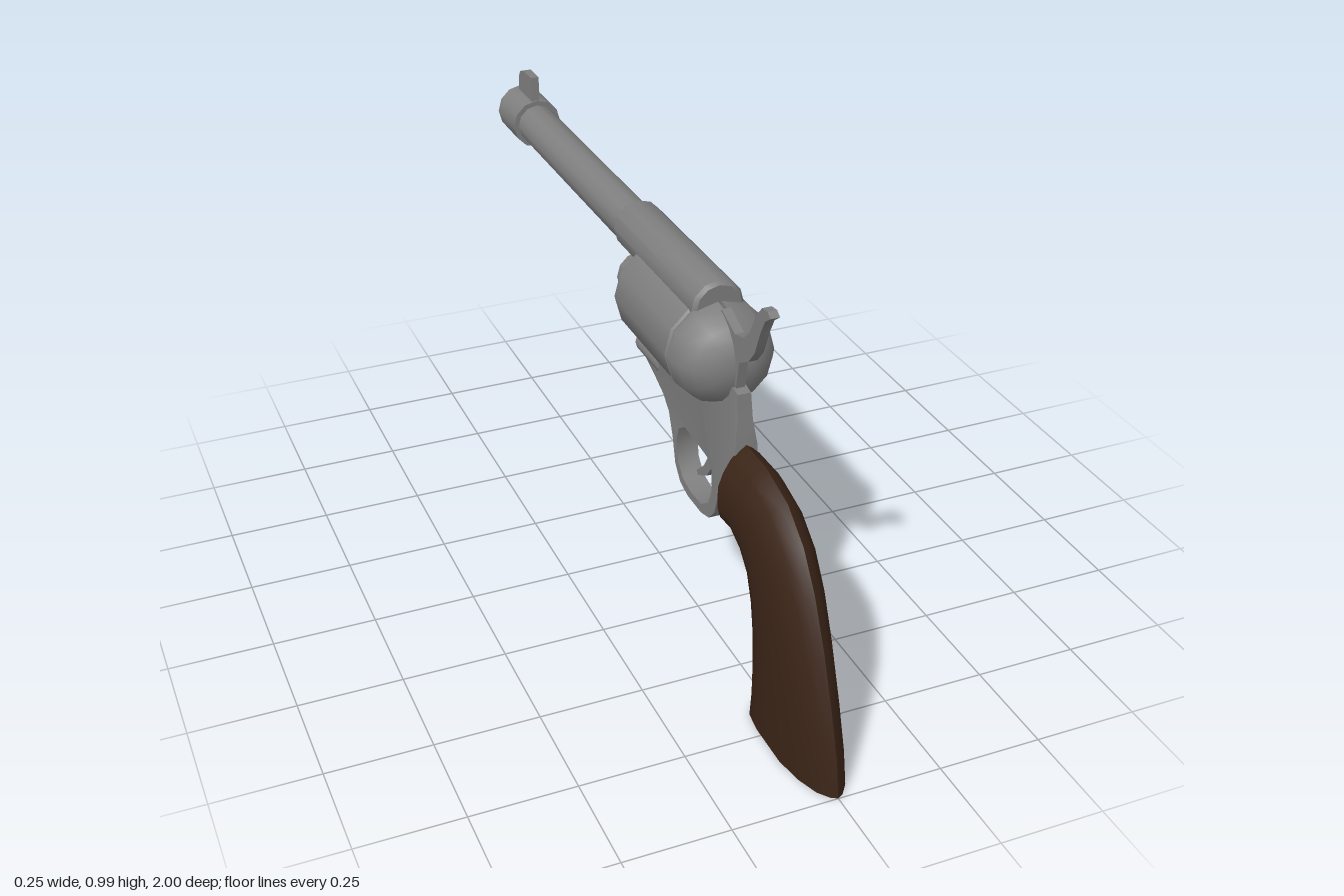
import * as THREE from 'three';
import { toCreasedNormals } from 'three/addons/utils/BufferGeometryUtils.js';

const steel = new THREE.MeshStandardMaterial({ color: 0x7f7f7f });
const steelThin = new THREE.MeshStandardMaterial({ color: 0x7f7f7f, side: THREE.DoubleSide });
const wood = new THREE.MeshStandardMaterial({ color: 0x3a2417 });

const vecs = (pts) => pts.map(([a, b]) => new THREE.Vector2(a, b));
const { smoothstep } = THREE.MathUtils;

export function createModel() {
  const model = new THREE.Group();

  function add(name, geometry, material = steel, crease = 0.62) {
    const mesh = new THREE.Mesh(toCreasedNormals(geometry, crease), material);
    mesh.name = name;
    model.add(mesh);
    return mesh;
  }

  // Turned part along z: profile is [radius, z] with z rising on the outside
  function turned(name, profile, y, start = 0, length = Math.PI * 2) {
    const sides = Math.round((12 * length) / (Math.PI * 2));
    const g = new THREE.LatheGeometry(vecs(profile), sides, start, length);
    g.rotateX(Math.PI / 2);
    return add(name, g.translate(0, y, 0));
  }

  // Plate cut from a [z, y] outline, centred on x = 0; halfWidth gives its half width at (z, y)
  function plate(name, outline, halfWidth, hole) {
    const shape = new THREE.Shape(vecs(outline));
    if (hole) shape.holes.push(new THREE.Path(vecs(hole)));
    const g = new THREE.ExtrudeGeometry(shape, { depth: 2, bevelEnabled: false });
    g.translate(0, 0, -1).rotateY(-Math.PI / 2);
    const p = g.attributes.position;
    for (let i = 0; i < p.count; i++) {
      p.setX(i, p.getX(i) * halfWidth(p.getZ(i), p.getY(i)));
    }
    return add(name, g);
  }

  // Barrel with hollow muzzle
  turned('barrel', [[0, -0.87], [0.053, -0.87], [0.053, -0.1], [0, -0.1]], 0.861);
  turned('muzzleRing', [[0, -0.87], [0.049, -0.87], [0.049, -1], [0.066, -1], [0.066, -0.866],
    [0, -0.866]], 0.861);
  plate('frontSight', [[-0.87, 0.915], [-0.98, 0.915], [-0.978, 0.96], [-0.965, 0.98],
    [-0.94, 0.99], [-0.875, 0.99]], () => 0.011);

  // Top strap around the barrel root, cylinder and ejector housing
  turned('topStrap', [[0, -0.135], [0.06, -0.135], [0.063, -0.13], [0.063, 0.335],
    [0.055, 0.345], [0, 0.345]], 0.87);
  turned('cylinder', [[0, 0], [0.106, 0], [0.116, 0.006], [0.12, 0.018], [0.12, 0.318],
    [0.112, 0.328], [0, 0.33]], 0.765);
  turned('ejectorHousing', [[0, -0.132], [0.055, -0.132], [0.058, -0.127], [0.058, 0.02], [0, 0.02]], 0.743);

  // Recoil shield: two half domes with a slot for the hammer
  const dome = [[0, 0.322], [0.11, 0.322], [0.119, 0.338], [0.119, 0.355], [0.111, 0.39],
    [0.093, 0.42], [0.067, 0.443], [0.035, 0.456], [0, 0.46]];
  const section = [...dome.map(([r, z]) => [z, r]), ...dome.slice(1, -1).reverse().map(([r, z]) => [z, -r])];
  for (const side of [1, -1]) {
    turned('recoilShield', dome, 0.767, side > 0 ? 0 : Math.PI, Math.PI).position.x = side * 0.004;
    const wall = new THREE.ShapeGeometry(new THREE.Shape(vecs(section)));
    wall.rotateY(-Math.PI / 2).translate(side * 0.005, 0.767, 0);
    add('hammerSlotWall', wall, steelThin);
  }

  // Frame with trigger guard in one piece, wider under the cylinder
  const frameOutline = [
    [0.483, 0.725], [0.49, 0.66], [0.5, 0.6], [0.5, 0.43], [0.43, 0.432], [0.412, 0.42],
    [0.395, 0.37], [0.365, 0.338], [0.32, 0.325], [0.24, 0.325], [0.195, 0.338], [0.165, 0.375],
    [0.148, 0.44], [0.125, 0.495], [0.09, 0.525], [0.03, 0.54], [-0.075, 0.56], [-0.083, 0.605],
    [-0.118, 0.64], [-0.13, 0.69], [-0.02, 0.69], [0.1, 0.68], [0.32, 0.68], [0.39, 0.72], [0.46, 0.73],
  ];
  const guardHole = [
    [0.375, 0.475], [0.35, 0.495], [0.29, 0.5], [0.22, 0.503], [0.185, 0.48], [0.172, 0.44],
    [0.182, 0.39], [0.21, 0.358], [0.26, 0.346], [0.32, 0.349], [0.36, 0.375], [0.378, 0.42],
  ];
  plate('frame', frameOutline, (z, y) => {
    const upper = smoothstep(y, 0.6, 0.69);
    const rear = smoothstep(z, 0.34, 0.46);
    const lowerFront = (1 - smoothstep(z, -0.07, 0.1)) * (1 - smoothstep(y, 0.57, 0.64));
    return 0.027 + upper * (0.015 * (1 - rear) - 0.011 * rear) - 0.012 * lowerFront;
  }, guardHole);
  turned('frameNose', [[0, -0.084], [0.027, -0.084], [0.03, -0.08], [0.03, 0.06], [0, 0.12]], 0.582);

  // Trigger and hammer
  plate('trigger', [[0.365, 0.51], [0.345, 0.46], [0.315, 0.42], [0.265, 0.393], [0.26, 0.405],
    [0.3, 0.44], [0.322, 0.475], [0.33, 0.51]], () => 0.012);
  plate('hammer', [[0.62, 0.975], [0.605, 0.985], [0.58, 0.982], [0.55, 0.95], [0.525, 0.9],
    [0.495, 0.87], [0.45, 0.858], [0.38, 0.885], [0.35, 0.84], [0.36, 0.74], [0.46, 0.72], [0.475, 0.8],
    [0.52, 0.825], [0.55, 0.86], [0.575, 0.92], [0.595, 0.957]], () => 0.011);

  // Grip: cross-sections between a front edge and a back edge, [z, y] each
  const stations = [
    [[0.495, 0.41], [0.495, 0.604]], [[0.545, 0.415], [0.6, 0.604]], [[0.59, 0.393], [0.71, 0.575]],
    [[0.625, 0.355], [0.79, 0.515]], [[0.645, 0.295], [0.85, 0.43]], [[0.655, 0.22], [0.905, 0.315]],
    [[0.655, 0.14], [0.95, 0.195]], [[0.65, 0.065], [0.985, 0.085]], [[0.64, 0], [1, 0]],
  ];
  const half = [[0, 0], [0.02, 0.035], [0.09, 0.058], [0.22, 0.065], [0.5, 0.065],
    [0.68, 0.053], [0.84, 0.035], [0.95, 0.015], [1, 0]];
  const ring = [...half, ...half.slice(1, -1).reverse().map(([t, w]) => [t, -w])];
  const n = ring.length;
  const last = (stations.length - 1) * n;
  const positions = [];
  const index = [];
  stations.forEach(([f, b], i) => {
    const fullness = 0.55 * (i / (stations.length - 1)); // rounder back towards the butt
    for (const [t, w] of ring) {
      const s = t + fullness * t * t * (1 - t);
      positions.push(w, f[1] + (b[1] - f[1]) * s, f[0] + (b[0] - f[0]) * s);
    }
  });
  for (let i = 0; i < stations.length - 1; i++) {
    for (let j = 0; j < n; j++) {
      const a = i * n + j;
      const b = i * n + ((j + 1) % n);
      index.push(a, b, a + n, b, b + n, a + n);
    }
  }
  for (let j = 1; j < n - 1; j++) index.push(0, j + 1, j, last, last + j, last + j + 1);
  const grip = new THREE.BufferGeometry();
  grip.setAttribute('position', new THREE.Float32BufferAttribute(positions, 3));
  grip.setIndex(index);
  add('grip', grip, wood, 0.8);

  return model;
}
